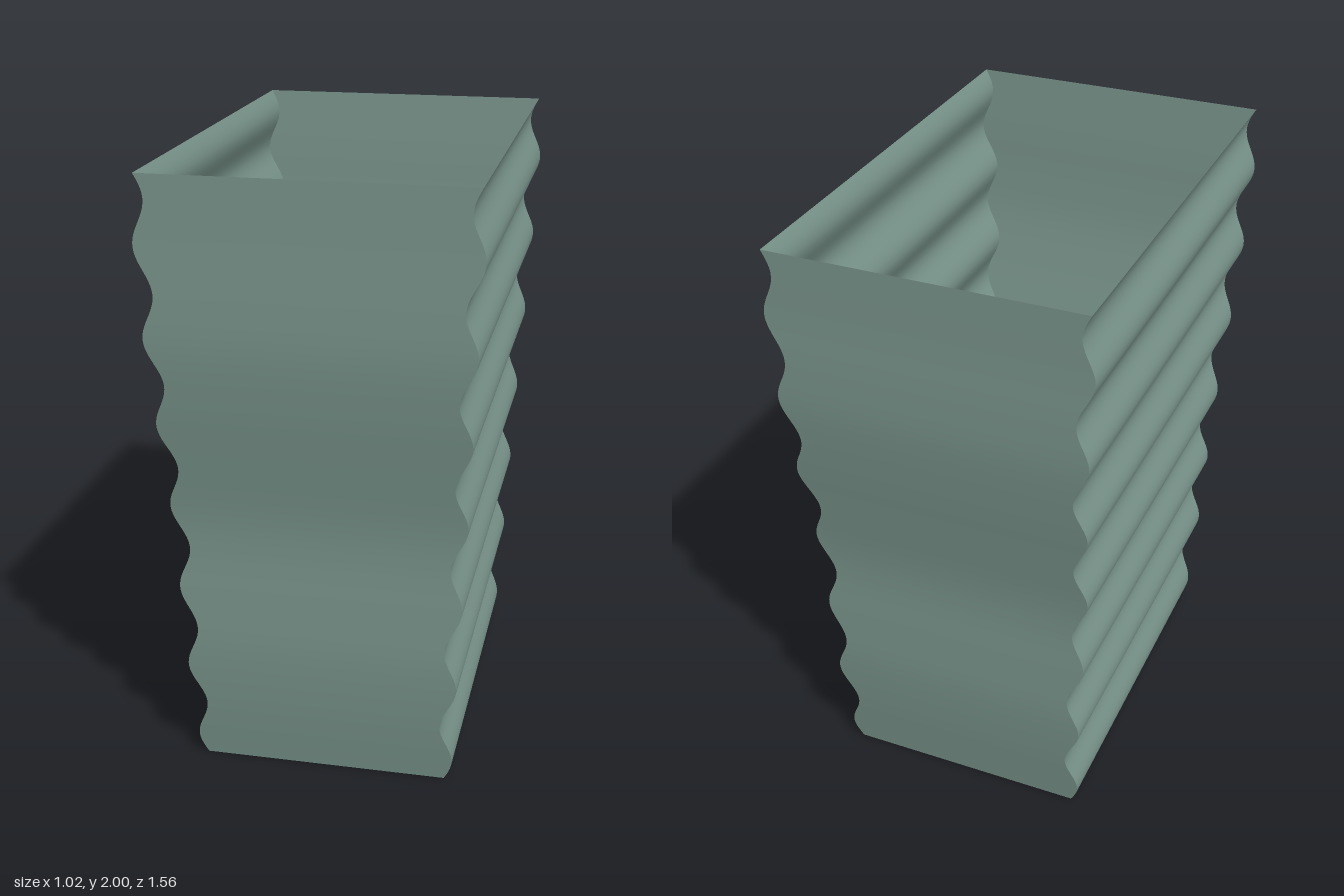
import * as THREE from 'three';

const HEIGHT = 2;
const ROWS = 160;

// Half depth of the body as [depth, height] points, bottom to top
const depthCurve = new THREE.SplineCurve([
  [0.6, 0], [0.636, 0.22], [0.657, 0.42], [0.661, 0.6], [0.662, 0.78],
  [0.674, 0.92], [0.706, 1.1], [0.74, 1.28], [0.766, 1.46],
  [0.774, 1.62], [0.775, 1.8], [0.78, 2],
].map(([z, y]) => new THREE.Vector2(z, y)));

// Half width: a gentle taper with seven ripples
const halfWidth = (y) => 0.4 + 0.05 * y + 0.023 * Math.sin(7 * Math.PI * y);

// Rectangular cross-sections from the floor to the rim
function crossSections() {
  return Array.from({ length: ROWS + 1 }, (_, i) => {
    const { x: z, y } = depthCurve.getPoint(i / ROWS);
    return { x: halfWidth(y), y: Math.min(y, HEIGHT), z };
  });
}

// One of the four walls, between two corners given as signs of x and z
function wallGeometry(rows, [ax, az], [bx, bz]) {
  const positions = [];
  const index = [];
  rows.forEach(({ x, y, z }, i) => {
    positions.push(ax * x, y, az * z, bx * x, y, bz * z);
    if (i < ROWS) {
      const k = 2 * i;
      index.push(k, k + 1, k + 3, k, k + 3, k + 2);
    }
  });
  const geometry = new THREE.BufferGeometry();
  geometry.setAttribute('position', new THREE.Float32BufferAttribute(positions, 3));
  geometry.setIndex(index);
  geometry.computeVertexNormals();
  return geometry;
}

export function createModel() {
  const model = new THREE.Group();
  model.name = 'rippledBin';

  const sageGreen = new THREE.MeshStandardMaterial({ color: 0x78938a, side: THREE.DoubleSide });
  sageGreen.name = 'sageGreen';

  // Thin walls, open at the top
  const rows = crossSections();
  const corners = [[-1, 1], [1, 1], [1, -1], [-1, -1]];
  ['frontWall', 'leftWall', 'backWall', 'rightWall'].forEach((name, i) => {
    const wall = new THREE.Mesh(wallGeometry(rows, corners[i], corners[(i + 1) % 4]), sageGreen);
    wall.name = name;
    model.add(wall);
  });

  // Flat floor
  const floor = new THREE.Mesh(new THREE.PlaneGeometry(0.8, 1.2).rotateX(-Math.PI / 2), sageGreen);
  floor.name = 'floor';
  model.add(floor);

  return model;
}
